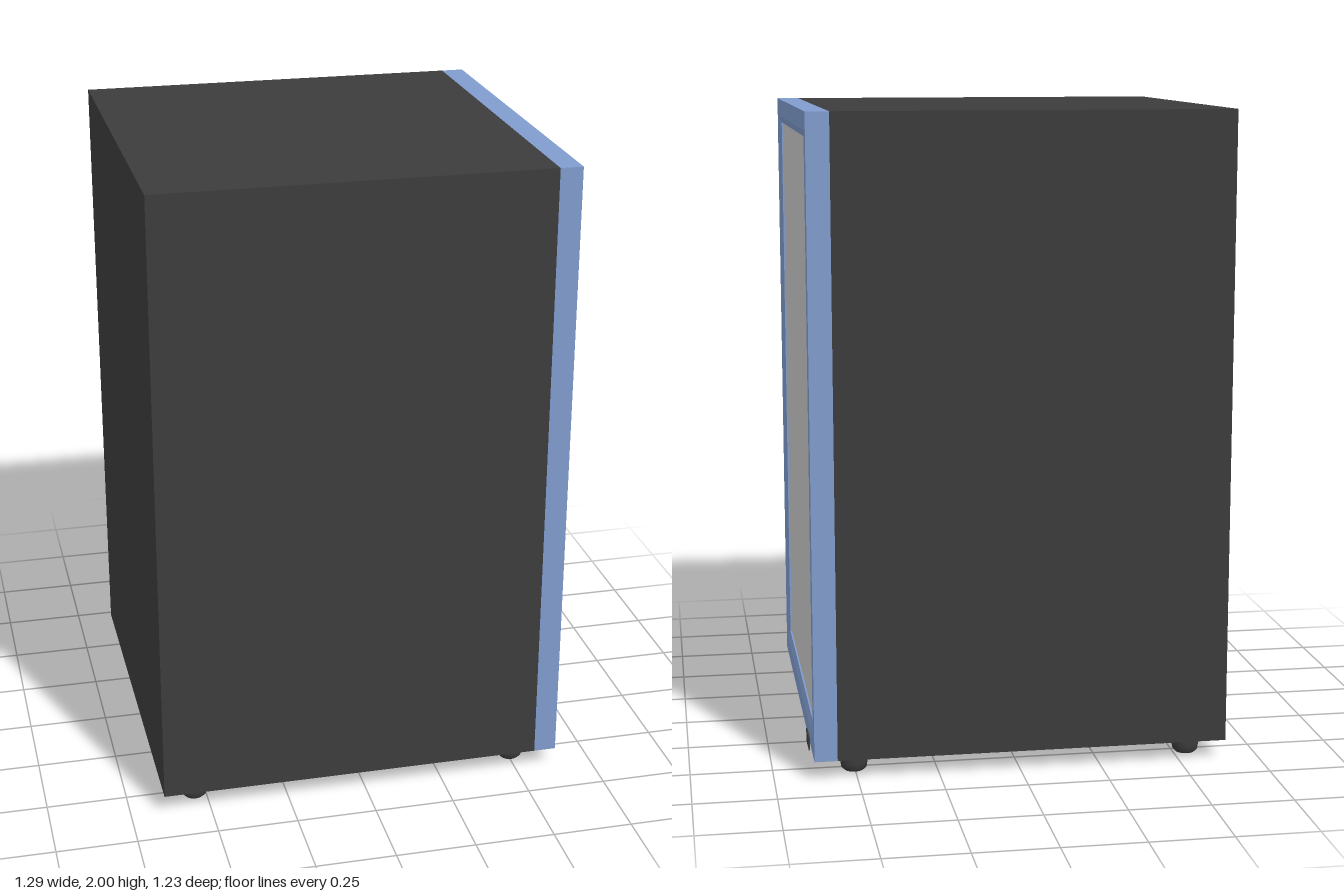
import * as THREE from 'three';

export function createModel() {
  const model = new THREE.Group();
  const mat = (name, color) => {
    const m = new THREE.MeshStandardMaterial({ color });
    m.name = name;
    return m;
  };
  const charcoal = mat('charcoal', 0x3c3c3c);
  const blue = mat('blue trim', 0x809ccd);
  const glass = mat('pale glass', 0xcacaca);

  const add = (name, geometry, material, x, y, z) => {
    const mesh = new THREE.Mesh(geometry, material);
    mesh.name = name;
    mesh.position.set(x, y, z);
    model.add(mesh);
    return mesh;
  };

  const bottom = 0.06, top = 2, halfDepth = 0.617;
  const midY = (bottom + top) / 2, height = top - bottom;

  // Cabinet body
  add('cabinet', new THREE.BoxGeometry(1.205, height, halfDepth * 2), charcoal, -0.0425, midY, 0);

  // Door frame: rectangular rings from the back edge, round the face, into the opening
  const rings = [ // x, inset from the outer edge
    [0.56, 0], [0.63, 0], [0.63, 0.055], [0.622, 0.078], [0.605, 0.078],
  ];
  const corner = ([x, inset], i) => {
    const sz = [1, -1, -1, 1][i % 4], sy = [-1, -1, 1, 1][i % 4];
    return [x, sy * (height / 2 - inset), sz * (halfDepth - inset)];
  };
  const points = [];
  for (let r = 0; r < rings.length - 1; r++) {
    for (let i = 0; i < 4; i++) {
      const a = corner(rings[r], i), b = corner(rings[r], i + 1);
      const c = corner(rings[r + 1], i + 1), d = corner(rings[r + 1], i);
      points.push(...a, ...b, ...c, ...a, ...c, ...d);
    }
  }
  const frame = new THREE.BufferGeometry();
  frame.setAttribute('position', new THREE.Float32BufferAttribute(points, 3));
  frame.computeVertexNormals();
  add('doorFrame', frame, blue, 0, midY, 0);

  // Recessed door pane
  add('doorPane', new THREE.BoxGeometry(0.05, height - 0.15, halfDepth * 2 - 0.15), glass, 0.592, midY, 0);

  // Small plate standing just off the lower corner of the door
  add('doorPlate', new THREE.BoxGeometry(0.004, 0.04, 0.095), charcoal, 0.638, 0.085, -0.473);

  // Four feet with rounded undersides
  const footProfile = [[0, 0], [0.03, 0.003], [0.039, 0.012], [0.042, 0.03], [0.042, 0.062]]
    .map(([r, y]) => new THREE.Vector2(r, y));
  const foot = new THREE.LatheGeometry(footProfile, 24);
  for (const x of [-0.538, 0.503]) {
    for (const z of [-0.53, 0.53]) add('foot', foot, charcoal, x, 0, z);
  }

  return model;
}
